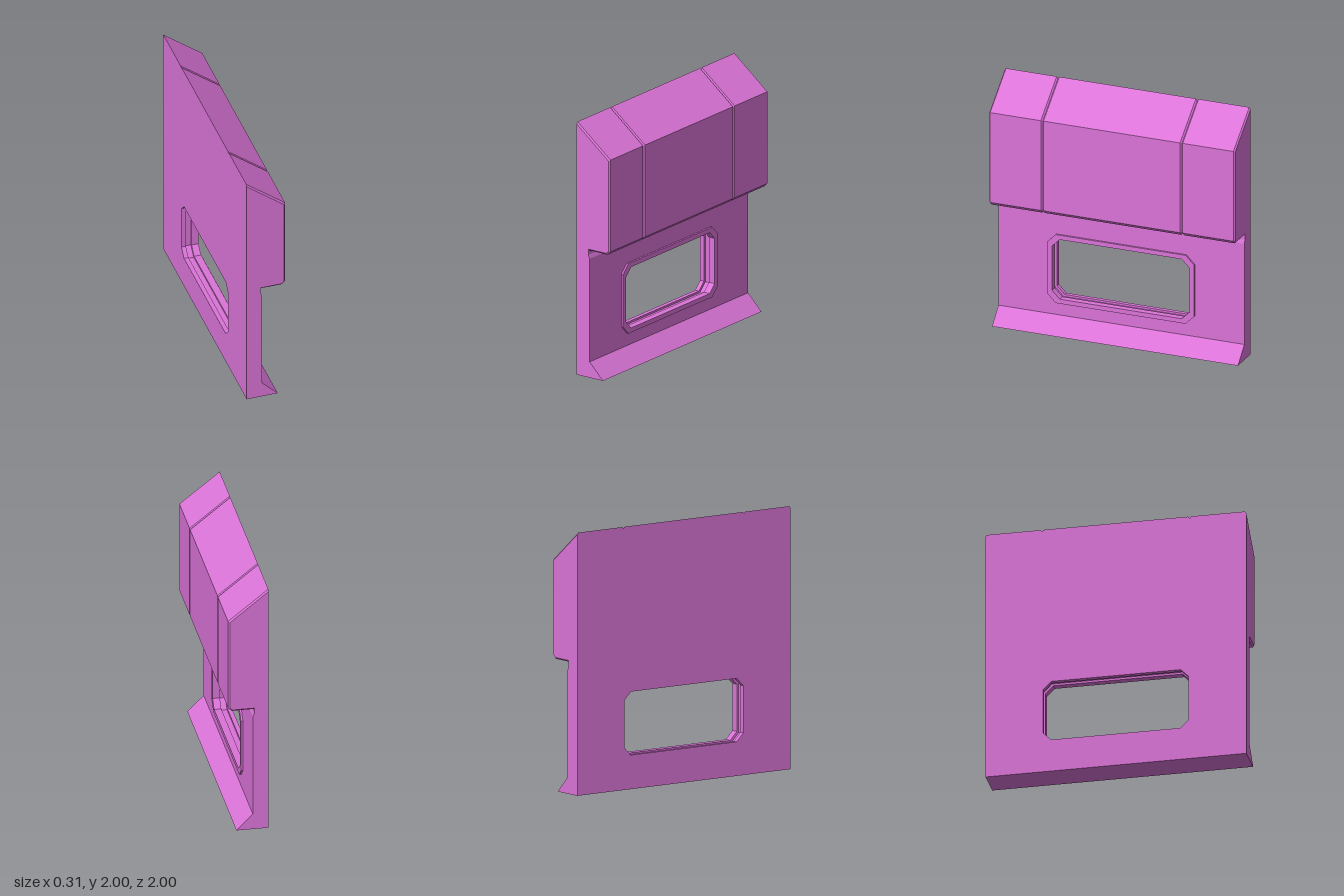
import * as THREE from 'three';

const BACK = -0.155, FRONT = -0.035;

export function createModel() {
  const group = new THREE.Group();
  const material = new THREE.MeshStandardMaterial({ color: 0xdb74d8, flatShading: true });

  function add(name, geometry) {
    const mesh = new THREE.Mesh(geometry, material);
    mesh.name = name;
    group.add(mesh);
  }

  // Rectangle with chamfered corners, centred on the window
  function octagon(PathType, w, h, c) {
    const y = 0.5;
    const pts = [[w, y - h + c], [w, y + h - c], [w - c, y + h], [c - w, y + h],
      [-w, y + h - c], [-w, y - h + c], [c - w, y - h], [w - c, y - h]];
    return new PathType(pts.map(p => new THREE.Vector2(...p)));
  }

  // Extrude a shape drawn in the wall plane from x0 to x1
  function slab(shape, x0, x1) {
    return new THREE.ExtrudeGeometry(shape, { depth: x1 - x0, bevelEnabled: false })
      .rotateY(Math.PI / 2).translate(x0, 0, 0);
  }

  // Extrude an x-y profile along the full wall length
  function strip(points) {
    const shape = new THREE.Shape(points.map(p => new THREE.Vector2(...p)));
    return new THREE.ExtrudeGeometry(shape, { depth: 2, bevelEnabled: false }).translate(0, 0, -1);
  }

  // Join convex counter-clockwise sections, given as {z, points}, with end caps
  function loft(sections) {
    const pos = [];
    const n = sections[0].points.length;
    const at = (i, j) => [...sections[i].points[j % n], sections[i].z];
    const last = sections.length - 1;
    for (let i = 0; i < last; i++) {
      for (let j = 0; j < n; j++) {
        const a = at(i, j), b = at(i, j + 1), c = at(i + 1, j + 1), d = at(i + 1, j);
        pos.push(...a, ...b, ...c, ...a, ...c, ...d);
      }
    }
    for (let j = 1; j < n - 1; j++) {
      pos.push(...at(0, 0), ...at(0, j + 1), ...at(0, j));
      pos.push(...at(last, 0), ...at(last, j), ...at(last, j + 1));
    }
    const g = new THREE.BufferGeometry();
    g.setAttribute('position', new THREE.Float32BufferAttribute(pos, 3));
    g.computeVertexNormals();
    return g;
  }

  // Wall panel with the window opening
  const wall = new THREE.Shape([[-1, 0.125], [1, 0.125], [1, 0.94], [-1, 0.94]]
    .map(p => new THREE.Vector2(...p)));
  wall.holes.push(octagon(THREE.Path, 0.575, 0.257, 0.068));
  add('wallPanel', slab(wall, BACK, FRONT));

  // Sloped skirting and the tapered neck under the upper blocks
  add('skirting', strip([[BACK, 0], [0.09, 0], [FRONT, 0.125], [BACK, 0.125]]));
  add('wallNeck', strip([[BACK, 0.94], [FRONT, 0.94], [-0.046, 0.97], [-0.046, 1.02], [BACK, 1.02]]));

  // Window frame: raised front ring and inner back lip, with a groove between
  const ring = octagon(THREE.Shape, 0.597, 0.277, 0.068);
  ring.holes.push(octagon(THREE.Path, 0.558, 0.241, 0.062));
  add('windowFrame', slab(ring, -0.075, -0.02));
  const lip = octagon(THREE.Shape, 0.575, 0.257, 0.068);
  lip.holes.push(octagon(THREE.Path, 0.558, 0.241, 0.062));
  add('windowBackLip', slab(lip, BACK, -0.12));

  // Upper blocks with chamfered ends that form the seams
  const full = [[BACK, 1.003], [0.125, 1.003], [0.152, 1.03], [0.152, 1.757], [BACK, 2]];
  const inset = [[BACK, 1.015], [0.12, 1.015], [0.14, 1.035], [0.14, 1.75], [BACK, 1.985]];
  const bevel = 0.011;
  const blocks = [['rightBlock', -1, -0.566], ['middleBlock', -0.566, 0.566], ['leftBlock', 0.566, 1]];
  for (const [name, z0, z1] of blocks) {
    add(name, loft([
      { z: z0, points: inset },
      { z: z0 + bevel, points: full },
      { z: z1 - bevel, points: full },
      { z: z1, points: inset },
    ]));
  }

  return group;
}
